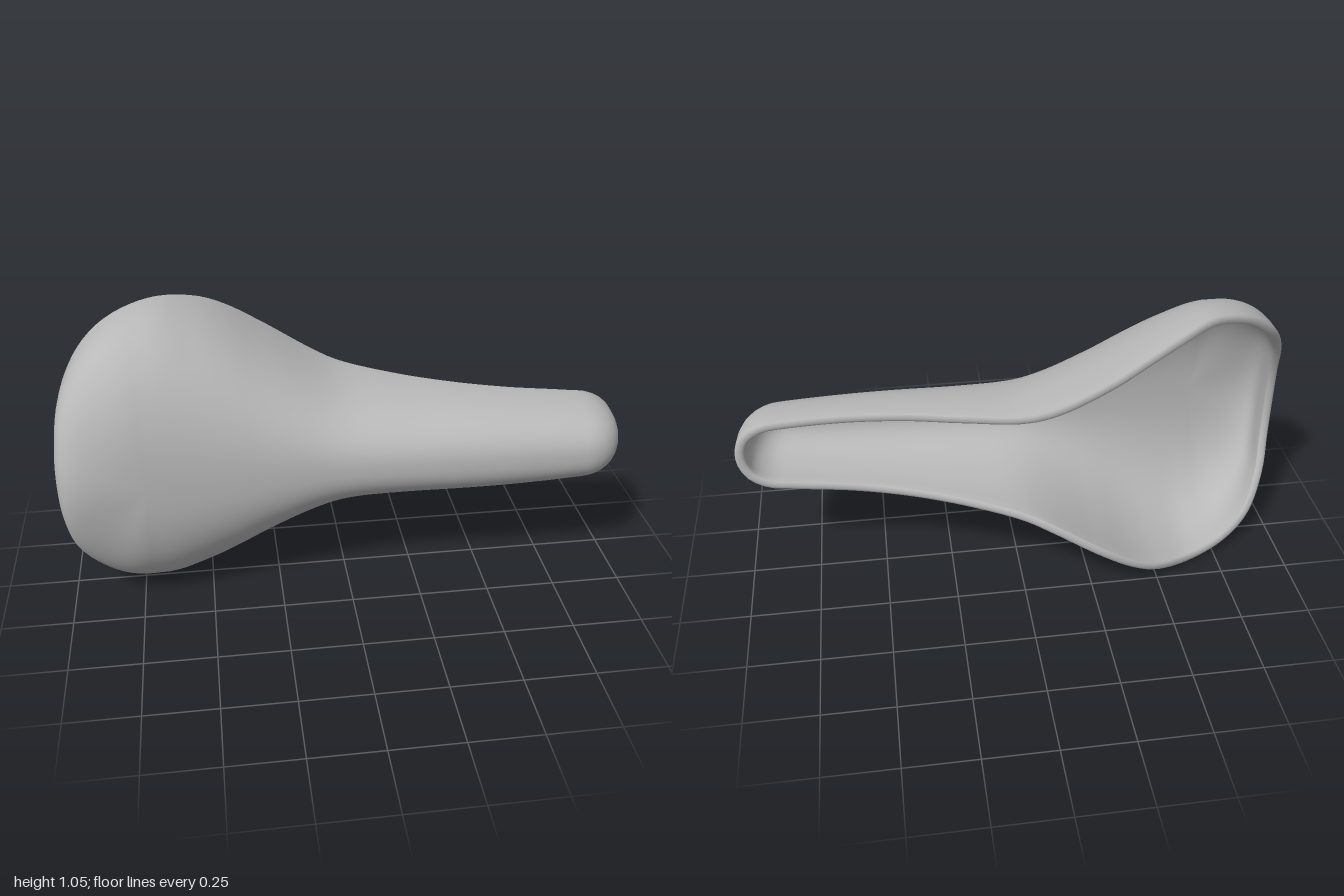
import * as THREE from 'three';
import { mergeVertices } from 'three/addons/utils/BufferGeometryUtils.js';

const MID_Y = 0.525;       // height of the symmetry plane
const WALL = 0.035;        // shell thickness
const REAR = -0.7, NOSE = 0.82; // ends of the crown line

// Half outline of the rim, tail to nose: x, half width, rim z
const HALF = [
  [-1, 0, 0.1], [-0.994, 0.14, 0.085], [-0.97, 0.28, 0.025], [-0.9, 0.405, -0.06],
  [-0.8, 0.485, -0.11], [-0.65, 0.525, -0.165], [-0.5, 0.495, -0.235], [-0.4, 0.45, -0.262],
  [-0.27, 0.37, -0.272], [-0.1, 0.268, -0.247], [0, 0.226, -0.213], [0.2, 0.196, -0.135],
  [0.4, 0.18, -0.068], [0.6, 0.165, -0.027], [0.8, 0.149, -0.01], [0.9, 0.135, -0.006],
  [0.965, 0.095, -0.003], [0.993, 0.045, 0], [1, 0, 0],
];

// Height of the crown line along the saddle
function crown(x) {
  if (x < -0.05) return 0.22 + 0.05 * Math.pow((-0.05 - x) / 0.95, 1.3);
  return 0.22 + 0.02 * THREE.MathUtils.smoothstep(x, -0.05, 0.65);
}

// Superelliptic rib from a rim point (t = 0) up to the crown line (t = 1)
function ribPoint(rim, t, depth) {
  const sx = THREE.MathUtils.clamp(rim.x, REAR, NOSE);
  const dx = rim.x - sx;
  const rear = rim.x < REAR ? -dx / Math.hypot(dx, rim.y) : 0;
  const n = 2.4 + 2.6 * rear;
  const a = t * Math.PI / 2;
  const out = Math.pow(Math.max(Math.cos(a), 0), 2 / n);
  const up = Math.pow(Math.sin(a), 2 / n);
  const x = sx + dx * (t === 1 ? 0 : out);
  const y = t === 1 ? 0 : rim.y * out;
  const top = crown(x) - depth - 0.9 * rear * y * y;
  return [x, MID_Y + y, rim.z + (top - rim.z) * up];
}

function shellGeometry() {
  const mirrored = HALF.slice(1, -1).reverse().map(([x, y, z]) => [x, -y, z]);
  const rimCurve = new THREE.CatmullRomCurve3(
    [...HALF, ...mirrored].map((p) => new THREE.Vector3(...p)), true, 'centripetal');
  const U = 160, V = 24;
  const positions = [], index = [];
  let rows = 0;
  for (let i = 0; i < U; i++) {
    const rim = rimCurve.getPointAt(i / U);
    const tan = rimCurve.getTangentAt(i / U);
    const inward = new THREE.Vector3(tan.y, -tan.x, 0).normalize();
    const inner = rim.clone().addScaledVector(inward, WALL);
    const rib = [];
    // inner wall, rounded lip, outer wall
    for (let j = V; j >= 0; j--) rib.push(ribPoint(inner, j / V, WALL));
    for (let j = 1; j < 5; j++) {
      const a = j / 5 * Math.PI;
      const p = rim.clone().addScaledVector(inward, WALL * (1 + Math.cos(a)) / 2);
      rib.push([p.x, MID_Y + p.y, p.z - 0.01 * Math.sin(a)]);
    }
    for (let j = 0; j <= V; j++) rib.push(ribPoint(rim, j / V, 0));
    rows = rib.length;
    positions.push(...rib.flat());
  }
  for (let i = 0; i < U; i++) {
    for (let j = 0; j < rows - 1; j++) {
      const a = i * rows + j, b = ((i + 1) % U) * rows + j;
      index.push(a, a + 1, b, b, a + 1, b + 1);
    }
  }
  const geometry = new THREE.BufferGeometry();
  geometry.setAttribute('position', new THREE.Float32BufferAttribute(positions, 3));
  geometry.setIndex(index);
  const merged = mergeVertices(geometry, 1e-4);
  merged.computeVertexNormals();
  return merged;
}

export function createModel() {
  const group = new THREE.Group();
  group.name = 'saddle';
  const grey = new THREE.MeshStandardMaterial({ color: 0xb8b8b8 });
  grey.name = 'light grey';
  const shell = new THREE.Mesh(shellGeometry(), grey);
  shell.name = 'saddleShell';
  group.add(shell);
  return group;
}
